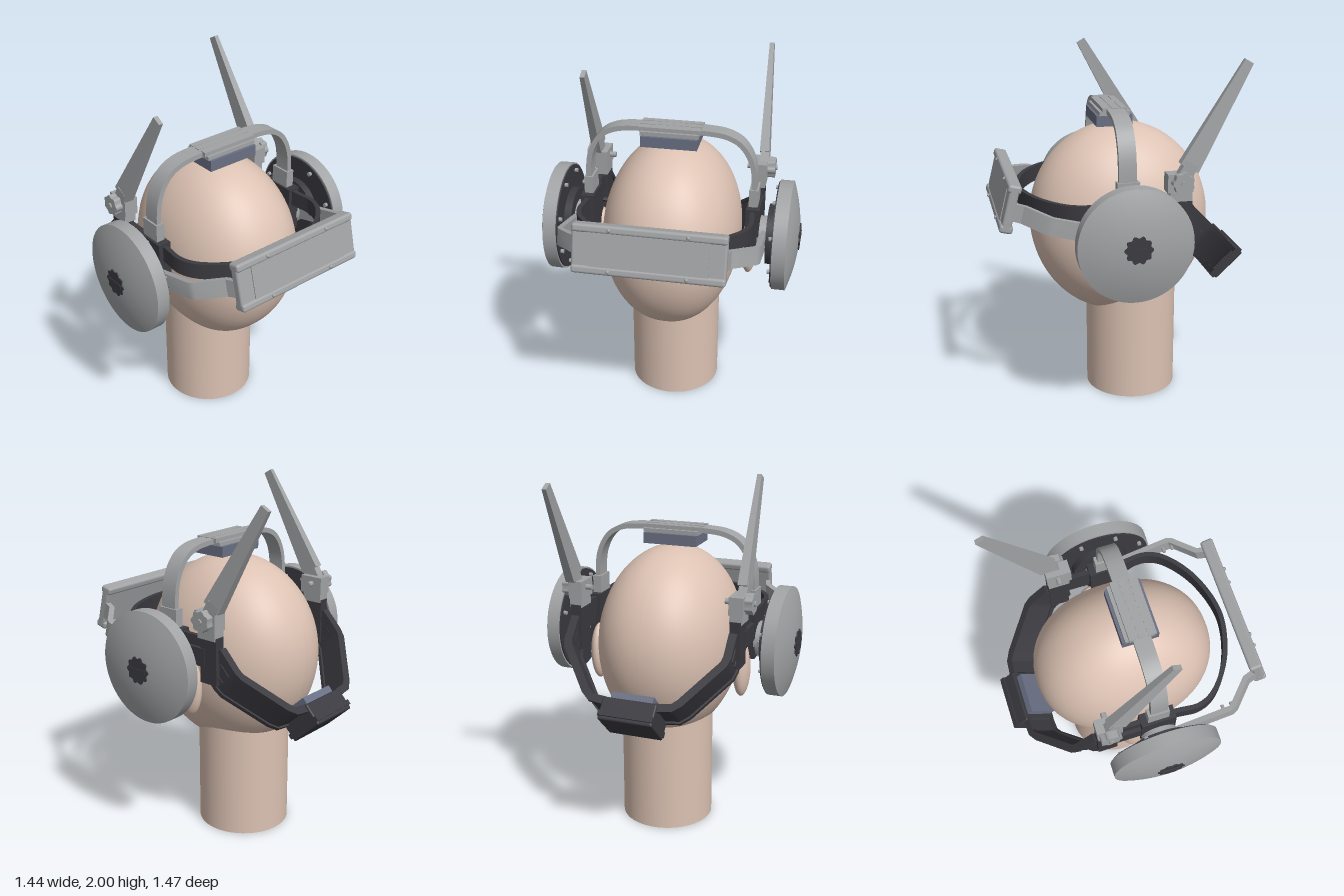
import * as THREE from 'three';
import { toCreasedNormals } from 'three/addons/utils/BufferGeometryUtils.js';
import { RoundedBoxGeometry } from 'three/addons/geometries/RoundedBoxGeometry.js';

const mat = (name, color) => Object.assign(new THREE.MeshStandardMaterial({ color }), { name });

export function createModel() {
  const skin = mat('skin', 0xdcc2b3);
  const grey = mat('light grey metal', 0xa1a3a5);
  const dark = mat('charcoal plastic', 0x3b3a40);
  const blue = mat('slate padding', 0x6a7084);
  const model = new THREE.Group();
  model.name = 'headsetOnHead';

  const add = (parent, name, geo, material, x = 0, y = 0, z = 0) => {
    const m = new THREE.Mesh(geo, material);
    m.name = name;
    m.position.set(x, y, z);
    parent.add(m);
    return m;
  };
  const box = (parent, name, material, size, pos) =>
    add(parent, name, new THREE.BoxGeometry(...size), material, ...pos);
  // disc whose axis runs along z
  const disc = (parent, name, material, r, depth, pos, sides = 32) =>
    add(parent, name, new THREE.CylinderGeometry(r, r, depth, sides).rotateX(Math.PI / 2), material, ...pos);
  // flat strip following 2D points, extruded to a given width and centred on it
  const ribbon = (pts, thick, width, smooth = 0) => {
    let p = pts.map(([a, b]) => new THREE.Vector2(a, b));
    if (smooth) p = new THREE.SplineCurve(p).getPoints(smooth);
    const side = (k) => p.map((q, i) => {
      const a = p[Math.max(i - 1, 0)], b = p[Math.min(i + 1, p.length - 1)];
      const t = b.clone().sub(a).normalize();
      return new THREE.Vector2(q.x - t.y * k, q.y + t.x * k);
    });
    const shape = new THREE.Shape([...side(thick / 2), ...side(-thick / 2).reverse()]);
    const g = new THREE.ExtrudeGeometry(shape, { depth: width, bevelEnabled: false });
    return toCreasedNormals(g.translate(0, 0, -width / 2), 0.5);
  };
  // scalloped knob outline
  const knob = (r, lobes, depth) => {
    const pts = [];
    for (let i = 0; i < lobes * 8; i++) {
      const a = (i / (lobes * 8)) * Math.PI * 2;
      const q = r * (0.92 + 0.08 * Math.cos(a * lobes));
      pts.push(new THREE.Vector2(q * Math.cos(a), q * Math.sin(a)));
    }
    const g = new THREE.ExtrudeGeometry(new THREE.Shape(pts), { depth, bevelEnabled: false });
    return toCreasedNormals(g.translate(0, 0, -depth / 2), 0.6);
  };

  // head: egg shape, slightly squared when seen from above (poles stay on the axis)
  const headGeo = new THREE.SphereGeometry(1, 72, 48);
  const hp = headGeo.attributes.position;
  for (let i = 0; i < hp.count; i++) {
    const x = hp.getX(i), y = hp.getY(i), z = hp.getZ(i);
    const r = Math.hypot(x, z);
    const k = r < 1e-6 ? 1 : r / Math.pow(Math.abs(x) ** 2.2 + Math.abs(z) ** 2.2, 1 / 2.2);
    hp.setXYZ(i, x * k * 0.51 - 0.004, 1.06 + y * (y > 0 ? 0.54 : 0.57), z * k * 0.39);
  }
  headGeo.computeVertexNormals();
  add(model, 'head', headGeo, skin);
  add(model, 'neck', new THREE.CylinderGeometry(0.262, 0.262, 0.7, 48), skin, -0.08, 0.35, 0);

  // hinge centre shared by ear cups, visor and headband
  const cx = 0.045, cy = 1.093;

  // overhead band with its pad and top plates
  const half = [[0.46, 1.2], [0.465, 1.42], [0.445, 1.54], [0.39, 1.63], [0.31, 1.675], [0.2, 1.69]];
  const arch = [...half, [0, 1.695], ...half.map(([z, y]) => [-z, y]).reverse()];
  add(model, 'headband', ribbon(arch, 0.028, 0.095, 72).rotateY(-Math.PI / 2), grey, 0.048, 0, 0);
  box(model, 'crownPad', blue, [0.2, 0.06, 0.31], [0.048, 1.637, 0]);
  box(model, 'crownPlate', grey, [0.17, 0.022, 0.32], [0.048, 1.678, 0]);
  for (const x of [0.0, 0.048, 0.1])
    box(model, 'crownRib', grey, [0.035, 0.026, 0.34], [x, 1.697, 0]);

  // dark strap curving around the forehead
  const strapSide = [[-0.25, 0.465], [0.12, 0.465], [0.29, 0.472], [0.41, 0.40], [0.52, 0.23]];
  const strap = [...strapSide, [0.572, 0], ...strapSide.map(([x, z]) => [x, -z]).reverse()];
  add(model, 'foreheadStrap', ribbon(strap, 0.026, 0.09, 90).rotateX(Math.PI / 2), dark, 0, 1.222, 0);

  // visor assembly, tilted upward around the hinge
  const visor = new THREE.Group();
  visor.name = 'visor';
  visor.position.set(cx, cy, 0);
  visor.rotation.z = 0.248;
  model.add(visor);
  add(visor, 'visorBody', new RoundedBoxGeometry(0.052, 0.26, 0.81, 3, 0.014), grey, 0.628, 0, 0);
  add(visor, 'visorPanel', new THREE.BoxGeometry(0.008, 0.222, 0.63), grey, 0.655, 0, 0);
  for (const y of [-0.11, 0.11])
    add(visor, 'visorRail', new RoundedBoxGeometry(0.072, 0.045, 0.81, 3, 0.015), grey, 0.628, y, 0);

  // rear brace, sloping down behind the head
  const rear = new THREE.Group();
  rear.name = 'rearBrace';
  rear.position.set(-0.26, 1.145, 0);
  rear.rotation.z = Math.atan2(-0.73, -0.68);
  model.add(rear);
  add(rear, 'rearBox', new RoundedBoxGeometry(0.13, 0.215, 0.31, 2, 0.01), dark, 0.495, 0, 0);
  box(rear, 'rearLip', dark, [0.03, 0.235, 0.31], [0.525, 0, 0]);
  box(rear, 'rearPad', blue, [0.05, 0.17, 0.24], [0.415, 0, 0]);

  for (const s of [1, -1]) {
    const ear = add(model, 'ear', new THREE.SphereGeometry(1, 32, 24), skin, -0.055, 0.942, s * 0.435);
    ear.scale.set(0.08, 0.168, 0.047);

    // ear cup: rim and shallow dome
    const profile = [[0, 0.598], [0.308, 0.598], [0.308, 0.672]];
    for (let i = 1; i <= 10; i++) {
      const r = 0.308 * (1 - i / 10);
      profile.push([r, 0.672 + 0.055 * (1 - (r / 0.308) ** 2)]);
    }
    const cup = new THREE.LatheGeometry(profile.map(([r, y]) => new THREE.Vector2(r, y)), 64);
    add(model, 'earCup', toCreasedNormals(cup.rotateX(s * Math.PI / 2), 0.35), grey, cx, cy, 0);
    disc(model, 'cupLining', dark, 0.298, 0.008, [cx, cy, s * 0.595], 64);
    disc(model, 'cupMount', dark, 0.17, 0.046, [cx, cy, s * 0.572], 40);
    add(model, 'cupKnob', knob(0.077, 10, 0.012), dark, cx, cy, s * 0.724);
    box(model, 'cupKnobGrip', dark, [0.11, 0.022, 0.008], [cx, cy, s * 0.73]);
    for (let i = 0; i < 8; i++) {
      const a = (i + 0.5) * Math.PI / 4;
      disc(model, 'cupBolt', grey, 0.012, 0.02,
        [cx + 0.265 * Math.cos(a), cy + 0.265 * Math.sin(a), s * 0.584], 10);
    }

    // hinge hub
    disc(model, 'hinge', grey, 0.1, 0.055, [cx, cy, s * 0.523]);
    box(model, 'hingeBlock', dark, [0.195, 0.28, 0.075], [cx, 1.14, s * 0.467]);
    box(model, 'bandSocket', grey, [0.12, 0.1, 0.05], [cx, 1.33, s * 0.465]);

    // visor arm
    const arm = [[-0.1, 0.535], [0.42, 0.535], [0.44, 0.525], [0.555, 0.405], [0.61, 0.39]]
      .map(([x, z]) => [x, s * z]);
    add(visor, 'visorArm', ribbon(arm, 0.03, 0.095).rotateX(Math.PI / 2), grey, 0, -0.01, 0);
    for (const x of [0.38, 0.43])
      disc(visor, 'armBolt', grey, 0.01, 0.05, [x, -0.01, s * 0.515], 10);
    disc(visor, 'armPin', dark, 0.01, 0.034, [0.19, -0.01, s * 0.535], 10);
    for (const y of [-0.11, 0.11])
      add(visor, 'visorBolt', new THREE.SphereGeometry(0.011, 10, 8), grey, 0.664, y, s * 0.205);

    // rear brace arm with raised edges
    const path = [[-0.02, 0.46], [0.12, 0.46], [0.16, 0.45], [0.405, 0.27], [0.44, 0.23], [0.45, 0.14]]
      .map(([u, z]) => [u, s * z]);
    add(rear, 'rearArm', ribbon(path, 0.022, 0.18).rotateX(Math.PI / 2), dark);
    for (const y of [-0.085, 0.085])
      add(rear, 'rearArmEdge', ribbon(path, 0.045, 0.022).rotateX(Math.PI / 2), dark, 0, y, 0);
    for (const y of [-0.03, 0.03])
      box(rear, 'rearArmRib', dark, [0.08, 0.015, 0.03], [0.08, y, s * 0.462]);
    box(model, 'sidePlate', dark, [0.11, 0.26, 0.06], [-0.245, 1.15, s * 0.465]);
    box(model, 'sideLink', dark, [0.2, 0.1, 0.04], [-0.12, 1.16, s * 0.48]);

    // antenna with its bracket and knobs
    const ax = -0.236, ay = 1.374;
    box(model, 'antennaBracket', grey, [0.14, 0.1, 0.08], [ax + 0.005, 1.365, s * 0.466]);
    box(model, 'antennaFoot', grey, [0.12, 0.05, 0.07], [ax, 1.29, s * 0.466]);
    add(model, 'antennaKnob', knob(0.06, 7, 0.042), grey, ax, ay, s * 0.53);
    disc(model, 'antennaBolt', grey, 0.016, 0.17, [ax, ay, s * 0.475], 12);
    const blade = new THREE.CylinderGeometry(0.037, 0.078, 0.63, 4).rotateY(Math.PI / 4)
      .scale(1, 1, 0.48).translate(0, 0.395, 0).toNonIndexed();
    blade.computeVertexNormals();
    const antenna = add(model, 'antenna', blade, grey, ax, ay, s * 0.485);
    antenna.rotation.set(-s * 0.035, 0, -s * 0.525);
    const root = new THREE.BoxGeometry(0.075, 0.12, 0.05).translate(0, 0.05, 0);
    add(model, 'antennaRoot', root, grey, ax, ay, s * 0.485).rotation.z = -s * 0.525;
  }
  return model;
}
